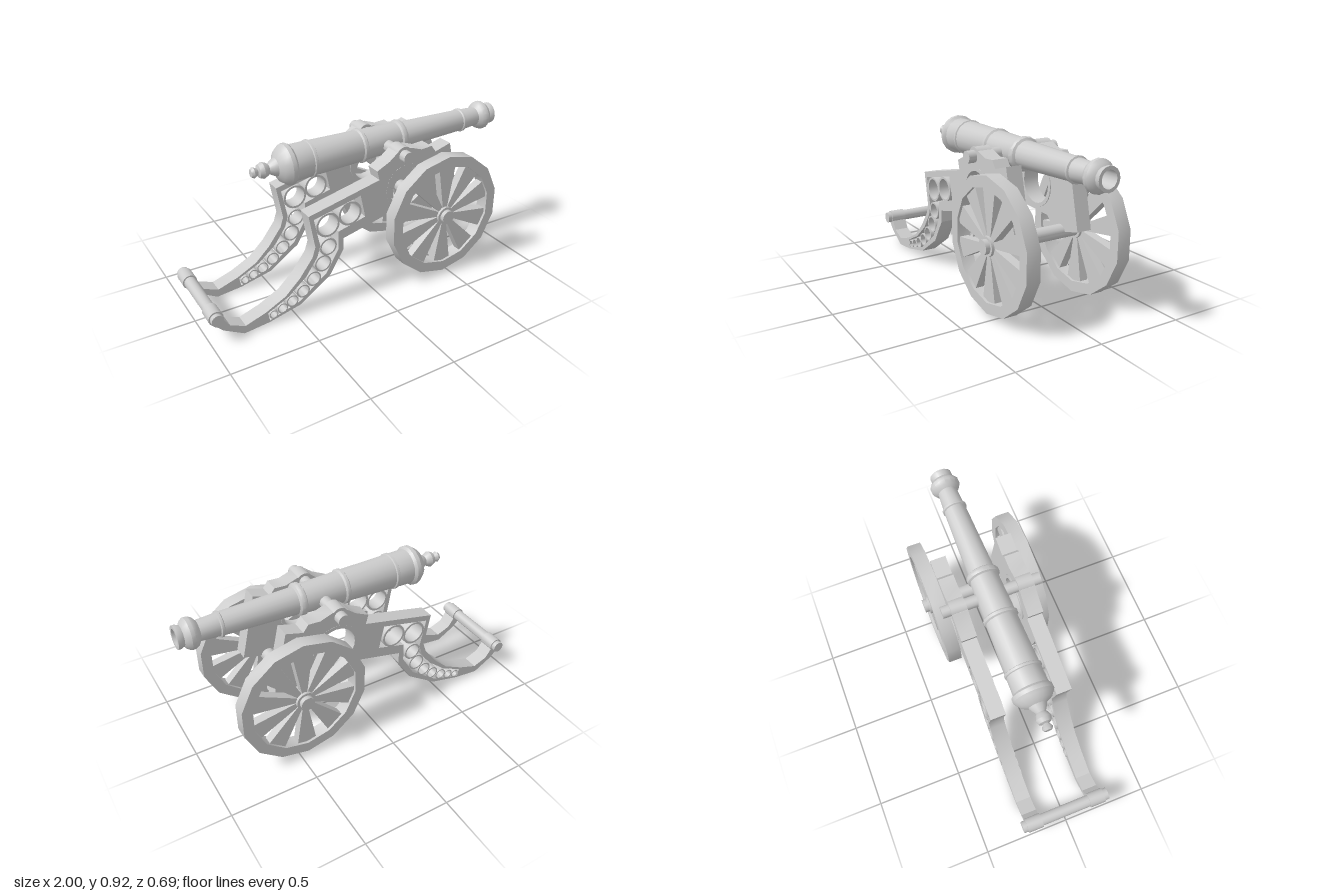
import * as THREE from 'three';
import { toCreasedNormals } from 'three/addons/utils/BufferGeometryUtils.js';

const material = new THREE.MeshStandardMaterial({ color: 0xcccccc });

function add(parent, name, geometry, x = 0, y = 0, z = 0) {
  const mesh = new THREE.Mesh(toCreasedNormals(geometry, 0.55), material);
  mesh.name = name;
  mesh.position.set(x, y, z);
  parent.add(mesh);
  return mesh;
}

const points = (list) => list.map(([x, y]) => new THREE.Vector2(x, y));

// Regular polygon with its first corner at the top
const polygon = (r, sides, x = 0, y = 0) =>
  Array.from({ length: sides }, (_, i) => {
    const a = Math.PI / 2 + (i / sides) * Math.PI * 2;
    return new THREE.Vector2(x + r * Math.cos(a), y + r * Math.sin(a));
  });

function plate(outline, holes, depth) {
  const shape = new THREE.Shape(outline);
  holes.forEach((h) => shape.holes.push(new THREE.Path(h)));
  return new THREE.ExtrudeGeometry(shape, { depth, bevelEnabled: false, curveSegments: 16 });
}

const rodZ = (r, length, sides = 18) =>
  new THREE.CylinderGeometry(r, r, length, sides).rotateX(Math.PI / 2);

// Outline of one side cheek, from the tail along the underside and back over the top
const CHEEK = points([
  [-0.985, 0.13], [-0.925, 0.07], [-0.81, 0.004], [-0.66, 0.02], [-0.47, 0.065],
  [-0.285, 0.19], [-0.195, 0.335], [-0.195, 0.405], [0.07, 0.468], [0.33, 0.455],
  [0.4, 0.382], [0.6, 0.43], [0.51, 0.815], [0.41, 0.785], [0.38, 0.825],
  [0.31, 0.82], [0.24, 0.845], [0.15, 0.835], [0.1, 0.795], [0.02, 0.755],
  [0.035, 0.7], [-0.405, 0.597], [-0.37, 0.4], [-0.39, 0.34], [-0.47, 0.235],
  [-0.56, 0.15], [-0.68, 0.09], [-0.8, 0.05], [-0.885, 0.085], [-0.925, 0.145],
]);

// Opening that holds the row of rings
const WINDOW = points([
  [-0.375, 0.57], [-0.085, 0.637], [-0.055, 0.5], [-0.225, 0.455], [-0.228, 0.345],
  [-0.305, 0.215], [-0.475, 0.088], [-0.66, 0.03], [-0.67, 0.08], [-0.54, 0.143],
  [-0.43, 0.235], [-0.36, 0.335], [-0.34, 0.4],
]);

// x, y, radius
const RINGS = [
  [-0.29, 0.515, 0.072], [-0.152, 0.547, 0.072], [-0.29, 0.38, 0.052],
  [-0.325, 0.285, 0.051], [-0.385, 0.205, 0.045], [-0.452, 0.147, 0.04],
  [-0.52, 0.106, 0.036], [-0.58, 0.08, 0.031], [-0.635, 0.06, 0.026],
  [0.22, 0.617, 0.137],
];

function makeCheek(side) {
  const cheek = new THREE.Group();
  cheek.name = side > 0 ? 'leftCheek' : 'rightCheek';
  add(cheek, 'cheekPlate', plate(CHEEK, [WINDOW, polygon(0.128, 24, 0.22, 0.617)], 0.09),
    0, 0, side > 0 ? 0.15 : -0.24);
  for (const [x, y, r] of RINGS) {
    add(cheek, 'cheekRing', plate(polygon(r, 24), [polygon(r * 0.86 - 0.002, 24)], 0.096),
      x, y, side > 0 ? 0.145 : -0.241);
  }
  add(cheek, 'trunnionCap', rodZ(0.051, 0.09), 0.195, 0.809, side * 0.195);
  add(cheek, 'tailScroll', rodZ(0.042, 0.092), -0.958, 0.158, side * 0.195);
  return cheek;
}

function makeWheel(side) {
  const wheel = new THREE.Group();
  wheel.name = side > 0 ? 'leftWheel' : 'rightWheel';
  wheel.position.set(0.452, 0.397, side * 0.28);
  add(wheel, 'rim', plate(polygon(0.374, 14), [polygon(0.312, 14)], 0.08), 0, 0, -0.04);
  // Wedge spokes, wide at the rim
  const wedge = points([[-0.012, 0.03], [0.012, 0.03], [0.058, 0.31], [-0.058, 0.31]]);
  for (let i = 0; i < 10; i++) {
    add(wheel, 'spoke', plate(wedge, [], 0.05), 0, 0, -0.025).rotation.z = (i * Math.PI) / 5;
  }
  add(wheel, 'hub', rodZ(0.055, 0.08, 14));
  return wheel;
}

function makeBarrel() {
  const barrel = new THREE.Group();
  barrel.name = 'barrel';
  // Radius and distance along the axis, from rear knob to muzzle and down the bore
  const profile = points([
    [0, -0.615], [0.022, -0.612], [0.031, -0.598], [0.022, -0.582], [0.018, -0.575],
    [0.036, -0.568], [0.046, -0.545], [0.036, -0.522], [0.028, -0.512], [0.042, -0.49],
    [0.052, -0.47], [0.088, -0.452], [0.105, -0.43], [0.116, -0.415], [0.116, -0.392],
    [0.102, -0.378], [0.1, -0.28], [0.106, -0.276], [0.106, -0.262], [0.099, -0.258],
    [0.091, 0.035], [0.1, 0.042], [0.1, 0.058], [0.09, 0.066], [0.083, 0.295],
    [0.094, 0.302], [0.096, 0.318], [0.09, 0.332], [0.077, 0.34], [0.064, 0.755],
    [0.071, 0.76], [0.071, 0.772], [0.062, 0.776], [0.056, 0.88], [0.075, 0.895],
    [0.086, 0.915], [0.086, 0.935], [0.072, 0.955], [0.056, 0.965], [0.064, 0.985],
    [0.064, 1.0], [0.046, 1.0], [0.044, 0.1], [0, 0.1],
  ]);
  add(barrel, 'barrelTube', new THREE.LatheGeometry(profile, 16).rotateZ(-Math.PI / 2));
  barrel.position.y = 0.812;
  barrel.rotation.z = 0.016;
  return barrel;
}

export function createModel() {
  const model = new THREE.Group();
  model.name = 'fieldCannon';
  model.add(makeBarrel());
  for (const side of [1, -1]) model.add(makeCheek(side), makeWheel(side));
  // Cross rods
  add(model, 'trunnionRod', rodZ(0.034, 0.574), 0.195, 0.809, 0);
  add(model, 'axle', rodZ(0.04, 0.69), 0.452, 0.397, 0);
  add(model, 'tailRod', rodZ(0.034, 0.534), -0.958, 0.158, 0);
  return model;
}
